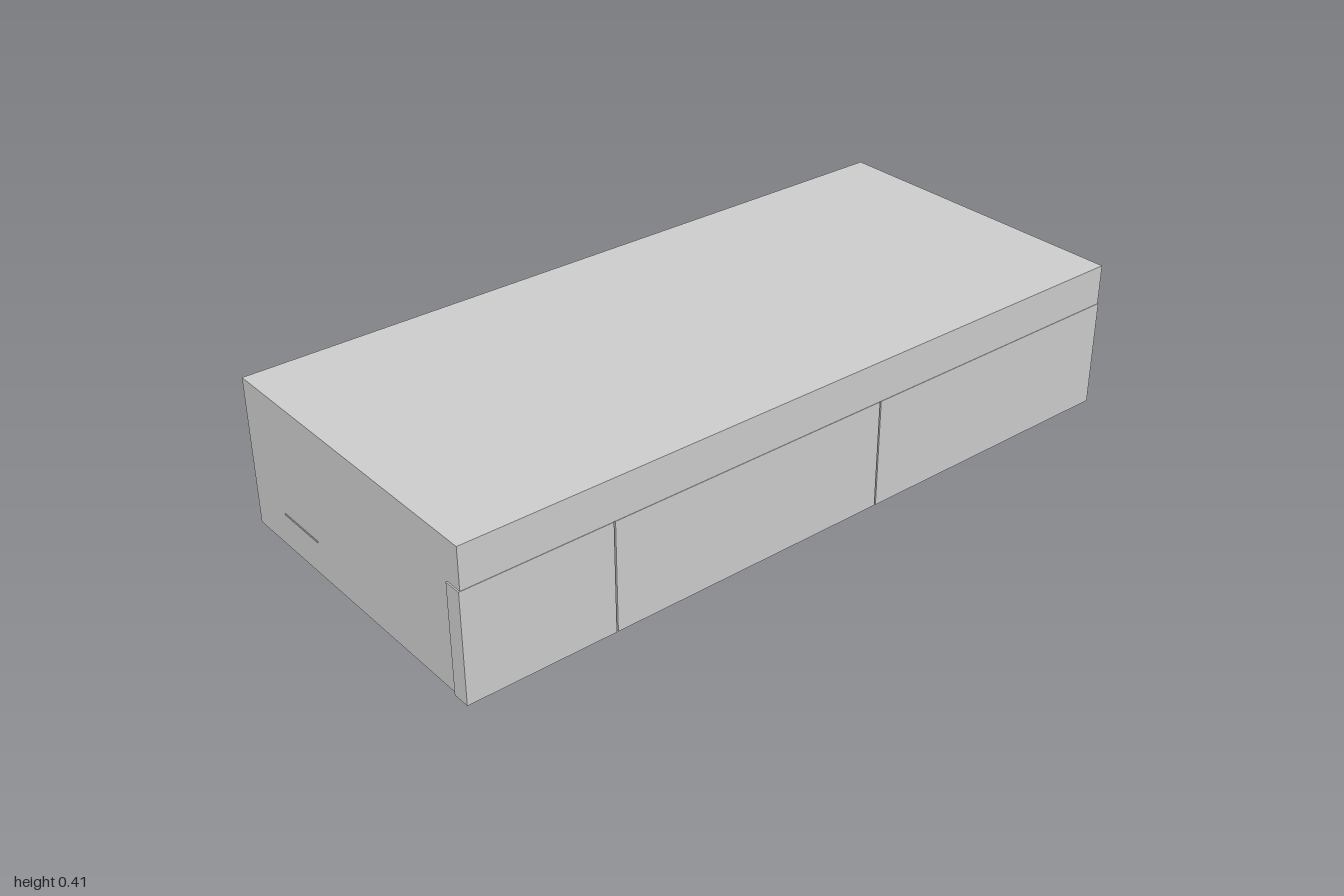
import * as THREE from 'three';

const W = 0.997, D = 0.4475, H = 0.405, BASE = 0.004, T = 0.012;
const FASCIA = 0.295, GLAZING = 0.4;

export function createModel() {
  const model = new THREE.Group();
  const mat = new THREE.MeshStandardMaterial({ color: 0xcccccc, flatShading: true });

  // Box given by its min and max corners
  function box(name, x0, x1, y0, y1, z0, z1, parent = model) {
    const mesh = new THREE.Mesh(new THREE.BoxGeometry(x1 - x0, y1 - y0, z1 - z0), mat);
    mesh.position.set((x0 + x1) / 2, (y0 + y1) / 2, (z0 + z1) / 2);
    mesh.name = name;
    parent.add(mesh);
    return mesh;
  }

  // Floor, roof and side walls
  box('floor', -W, W, BASE, BASE + 0.004, -D, GLAZING);
  box('roof', -W, W, H - T, H, -D, D);
  for (const s of [-1, 1]) {
    const x = s * (W - T / 2);
    box('sideWall', x - T / 2, x + T / 2, BASE, H - T, -D + T, GLAZING);
  }

  // Back wall with a central doorway
  const wall = new THREE.Shape();
  wall.moveTo(-W, BASE).lineTo(-0.1, BASE).lineTo(-0.1, 0.225).lineTo(0.1, 0.225);
  wall.lineTo(0.1, BASE).lineTo(W, BASE).lineTo(W, H - T).lineTo(-W, H - T).closePath();
  const backWall = new THREE.Mesh(
    new THREE.ExtrudeGeometry(wall, { depth: T, bevelEnabled: false }), mat);
  backWall.position.z = -D;
  backWall.name = 'backWall';
  model.add(backWall);

  // Front: upper fascia, backing and three large panels wrapping the corners
  box('fascia', -W, W, FASCIA, H - T, GLAZING, D);
  box('frontBacking', -W + T, W - T, BASE, FASCIA, GLAZING, D - 0.006);
  const seams = [-1, -0.6, 0.2, 1];
  for (let i = 0; i < 3; i++) {
    const gap = 0.002;
    box('frontPanel', seams[i] + (i > 0 ? gap : 0), seams[i + 1] - (i < 2 ? gap : 0),
      0, FASCIA - 0.001, GLAZING, D);
  }

  // Two slightly raised doors on the left side
  for (const z of [0.17, -0.105]) {
    box('sideDoor', W - T, 1, 0, FASCIA, z - 0.055, z + 0.055);
  }

  // Small ledge on the right side
  box('sideLedge', -W - 0.002, -W + T, 0.094, 0.098, -0.31, -0.16);

  // Shelving rows inside, on both sides of the central aisle
  function shelving(x0, x1, z) {
    const unit = new THREE.Group();
    unit.name = 'shelvingRow';
    box('shelfSpine', x0, x1, BASE - 0.002, 0.2, z - 0.004, z + 0.004, unit);
    for (const y of [0.02, 0.08, 0.14, 0.195]) {
      box('shelf', x0, x1, y, y + 0.006, z - 0.03, z + 0.03, unit);
    }
    for (const x of [x0, x1 - 0.006]) {
      box('shelfEnd', x, x + 0.006, BASE + 0.004, 0.2, z - 0.03, z + 0.03, unit);
    }
    model.add(unit);
  }
  shelving(0.18, W - T, -0.14);
  shelving(0.18, W - T, 0.165);
  shelving(-0.61, -0.19, -0.14);
  shelving(-W + T, -0.2, 0.13);

  return model;
}
